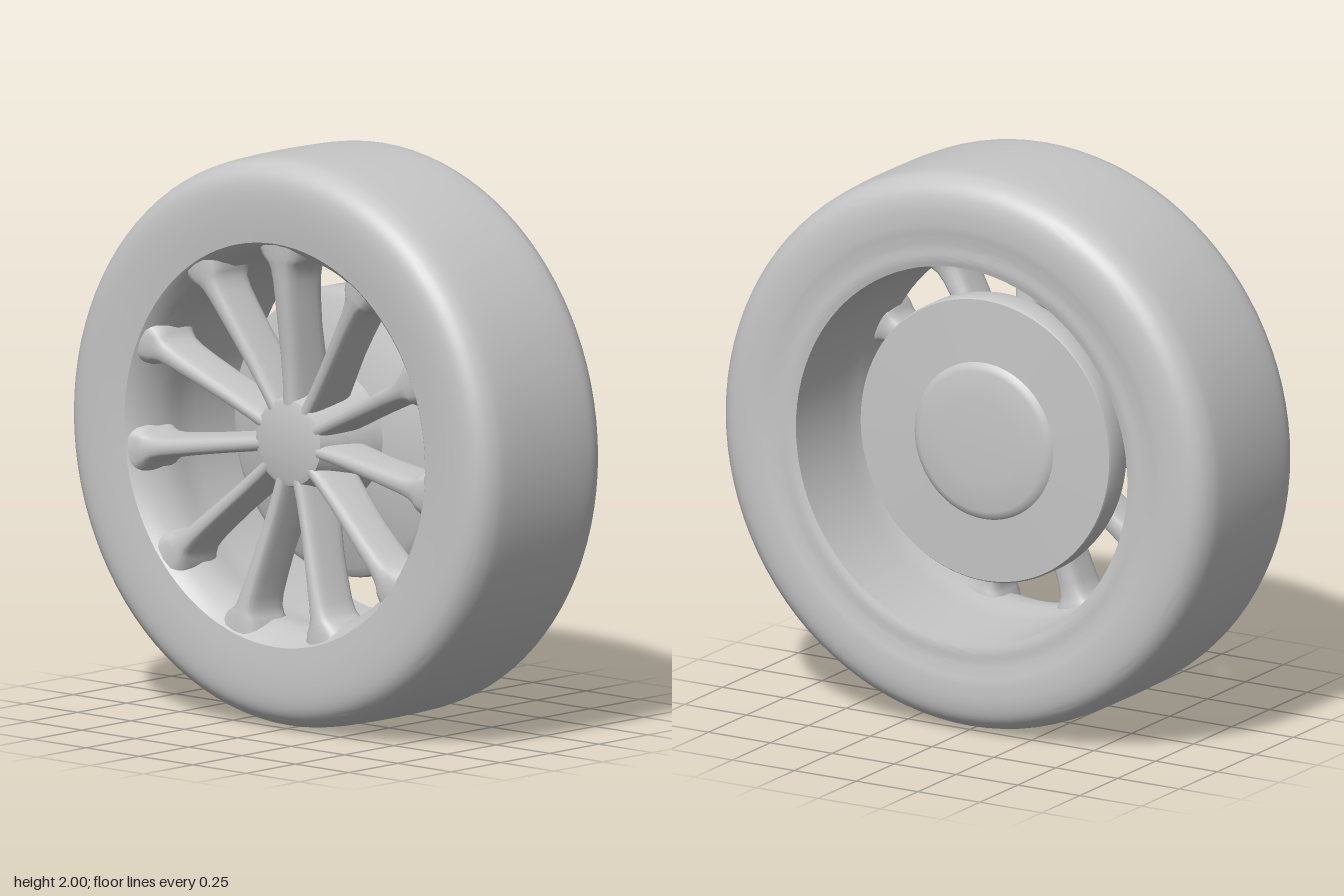
import * as THREE from 'three';
import { toCreasedNormals } from 'three/addons/utils/BufferGeometryUtils.js';

const SPOKES = 11;

// Turns a [radius, x] profile around the axle (x axis)
function turned(points, smoothSteps = 0) {
  let profile = points.map(([r, x]) => new THREE.Vector2(r, x));
  if (smoothSteps) profile = new THREE.SplineCurve(profile).getPoints(smoothSteps);
  const geometry = new THREE.LatheGeometry(profile, 96);
  geometry.rotateZ(-Math.PI / 2);
  return toCreasedNormals(geometry, 0.6);
}

// Lofts a rounded section from hub to rim; rows are [radius, halfWidth, xFace, xBack]
function spokeGeometry(rows, widen) {
  const sides = 20, positions = [], index = [];
  const soft = (v) => Math.sign(v) * Math.abs(v) ** 0.6;
  rows.forEach(([r, half, face, back]) => {
    for (let i = 0; i < sides; i++) {
      const a = (i / sides) * Math.PI * 2;
      const depth = soft(Math.sin(a)); // -1 is the outer face, narrower than the back
      const w = half * widen * soft(Math.cos(a)) * (0.88 + 0.12 * depth);
      positions.push((face + back) / 2 + depth * (back - face) / 2, r, w);
    }
  });
  for (let j = 0; j < rows.length - 1; j++) {
    for (let i = 0; i < sides; i++) {
      const a = j * sides + i, b = j * sides + (i + 1) % sides;
      index.push(a, b, a + sides, b, b + sides, a + sides);
    }
  }
  const geometry = new THREE.BufferGeometry();
  geometry.setAttribute('position', new THREE.Float32BufferAttribute(positions, 3));
  geometry.setIndex(index);
  geometry.computeVertexNormals();
  return geometry;
}

export function createModel() {
  const model = new THREE.Group();
  model.name = 'wheel';
  const grey = new THREE.MeshStandardMaterial({ color: 0xc6c6c6 });
  grey.name = 'plain grey';

  const wheel = new THREE.Group();
  wheel.name = 'wheelAssembly';
  wheel.position.y = 1;
  model.add(wheel);
  const add = (name, geometry, parent = wheel) => {
    const mesh = new THREE.Mesh(geometry, grey);
    mesh.name = name;
    parent.add(mesh);
    return mesh;
  };

  // Tyre: flat tread, round shoulders, shallow groove on the inner sidewall
  add('tyre', turned([
    [0.705, -0.312], [0.8, -0.32], [0.89, -0.319], [0.945, -0.302], [0.98, -0.26],
    [0.994, -0.19], [0.998, 0], [0.994, 0.19], [0.98, 0.26], [0.945, 0.302],
    [0.89, 0.32], [0.82, 0.322], [0.775, 0.316], [0.74, 0.312], [0.7, 0.312], [0.67, 0.305],
  ], 72));

  // Barrel: deep well that closes the tyre and flares at the spoked face
  add('rimBarrel', turned([
    [0.67, 0.305], [0.667, 0.2], [0.663, 0], [0.658, -0.08], [0.645, -0.13],
    [0.647, -0.2], [0.665, -0.255], [0.688, -0.295], [0.705, -0.312],
  ]));

  // Hub behind the spoke roots
  add('hub', turned([
    [0, -0.25], [0.13, -0.25], [0.15, -0.243], [0.165, -0.2],
    [0.19, -0.13], [0.23, 0], [0, 0],
  ]));

  // Recessed disc with a slightly raised round centre
  const disc = add('brakeDisc', turned([
    [0, -0.01], [0.47, -0.01], [0.5, 0.01], [0.507, 0.04], [0.507, 0.12], [0.502, 0.128],
    [0.28, 0.134], [0.268, 0.146], [0.25, 0.151], [0.15, 0.156], [0, 0.158],
  ]));
  disc.position.set(0, 0.006, 0.015);

  // Spokes, dished toward the hub and flared into the barrel
  const rows = [
    [0.1, 0.036, -0.249, -0.05], [0.2, 0.036, -0.252, -0.06], [0.3, 0.037, -0.26, -0.08],
    [0.4, 0.039, -0.272, -0.1], [0.5, 0.042, -0.285, -0.11], [0.57, 0.046, -0.293, -0.115],
    [0.61, 0.054, -0.298, -0.115], [0.635, 0.07, -0.301, -0.11],
    [0.655, 0.095, -0.304, -0.105], [0.7, 0.12, -0.307, -0.1],
  ];
  const spokes = new THREE.Group();
  spokes.name = 'spokes';
  wheel.add(spokes);
  const plain = spokeGeometry(rows, 1), broad = spokeGeometry(rows, 1.35);
  for (let i = 0; i < SPOKES; i++) {
    const spoke = add('spoke', i === 0 ? broad : plain, spokes);
    spoke.rotation.x = (i / SPOKES) * Math.PI * 2;
  }
  return model;
}
